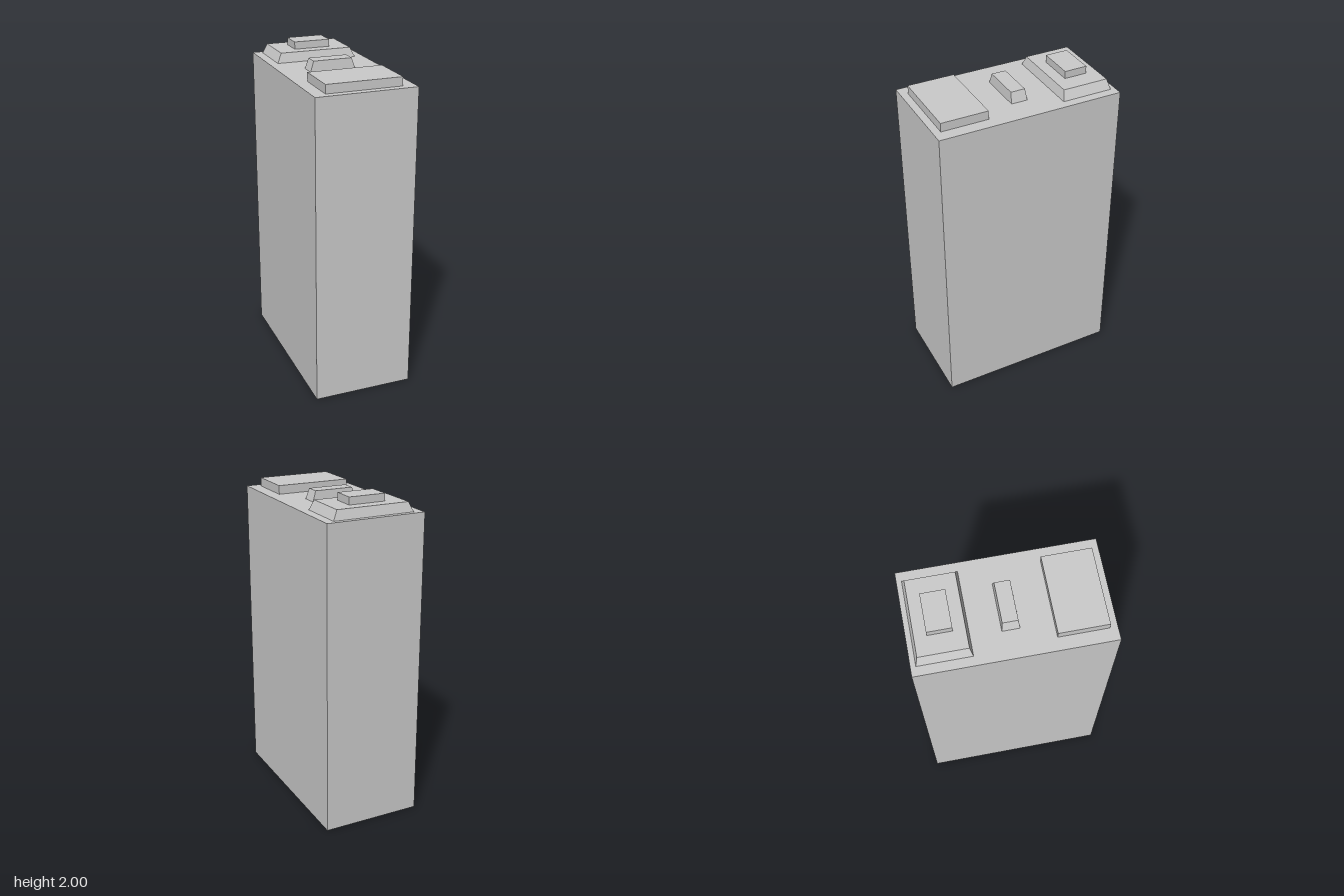
import * as THREE from 'three';

const material = new THREE.MeshStandardMaterial({ color: 0xcccccc, flatShading: true, side: THREE.DoubleSide });

// Block given as [width, depth] at its base and top, from y0 to y1, centred at z
function block(name, base, top, y0, y1, z, openBottom = false) {
  const geo = new THREE.BoxGeometry(1, y1 - y0, 1);
  const pos = geo.attributes.position;
  for (let i = 0; i < pos.count; i++) {
    const size = pos.getY(i) > 0 ? top : base;
    pos.setX(i, pos.getX(i) * size[0]);
    pos.setZ(i, pos.getZ(i) * size[1]);
  }
  if (openBottom) {
    // drop the downward face (fourth group of six indices)
    const index = Array.from(geo.index.array);
    index.splice(18, 6);
    geo.setIndex(index);
    geo.clearGroups();
  }
  geo.computeVertexNormals();
  const mesh = new THREE.Mesh(geo, material);
  mesh.name = name;
  mesh.position.set(0, (y0 + y1) / 2, z);
  return mesh;
}

export function createModel() {
  const group = new THREE.Group();
  group.name = 'tower';
  const roof = 1.897;

  group.add(
    // hollow main volume, open underneath
    block('mainBody', [0.614, 1.13], [0.614, 1.13], 0, roof, 0, true),
    // flat slab near the front of the roof
    block('frontRoofSlab', [0.46, 0.286], [0.46, 0.286], roof, 1.95, 0.377),
    // small tapered block in the middle
    block('middleRoofBlock', [0.282, 0.1], [0.24, 0.088], roof, 1.96, -0.002),
    // tapered plinth with a cap at the rear
    block('rearRoofPlinth', [0.504, 0.31], [0.45, 0.28], roof, 1.955, -0.38),
    block('rearRoofCap', [0.226, 0.14], [0.226, 0.14], 1.955, 2, -0.38)
  );
  return group;
}
